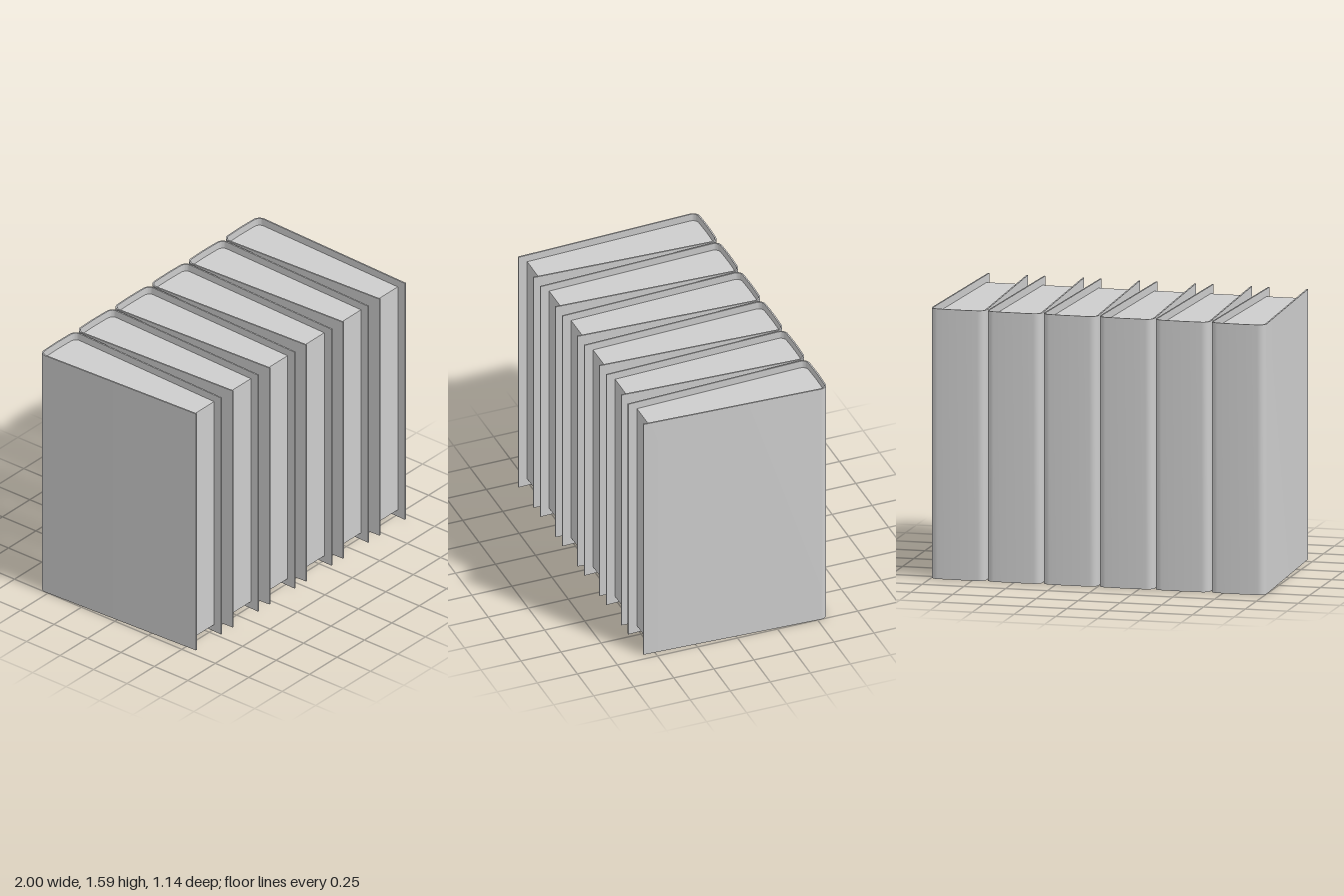
import * as THREE from 'three';
import { toCreasedNormals } from 'three/addons/utils/BufferGeometryUtils.js';

const HEIGHT = 1.59, COUNT = 6, PITCH = 0.335;
const BACK = 0.57;   // spine distance behind the centre
const WALL = 0.009;  // cover thickness

// Right half of a book's plan, from the fore edge to the spine (x, -z), set in by d
function halfOutline(d, front) {
  const halfAt = (y) => 0.12 + 0.0435 * (y + 0.57) / 1.1 - d;
  const r = 0.045 - d, yc = BACK - 0.003 - d - r, xc = halfAt(yc) - r;
  const pts = [new THREE.Vector2(halfAt(front), front)];
  for (let i = 0; i <= 8; i++) {
    const a = (i / 8) * Math.PI / 2;
    pts.push(new THREE.Vector2(xc + r * Math.cos(a), yc + r * Math.sin(a)));
  }
  pts.push(new THREE.Vector2(xc / 2, BACK - 0.001 - d));
  return pts;
}

// Full outline: right fore edge, round the spine, to left fore edge
function outline(d, front) {
  const half = halfOutline(d, front);
  const mirrored = half.map((p) => new THREE.Vector2(-p.x, p.y)).reverse();
  return [...half, new THREE.Vector2(0, BACK - d), ...mirrored];
}

// Raise a plan shape between two heights, smoothing only its gentle bends
function raise(points, y0, y1) {
  const geo = new THREE.ExtrudeGeometry(new THREE.Shape(points), { depth: y1 - y0, bevelEnabled: false });
  geo.rotateX(-Math.PI / 2).translate(0, y0, 0);
  return toCreasedNormals(geo, 0.6);
}

export function createModel() {
  const group = new THREE.Group();
  group.name = 'bookRow';
  const grey = new THREE.MeshStandardMaterial({ color: 0xcccccc });
  grey.name = 'lightGrey';

  // Wrapped cover: outer outline and back along the inner one
  const coverGeo = raise([...outline(0, -0.57), ...outline(WALL, -0.57).reverse()], 0, HEIGHT);
  // Page block, recessed at the top, bottom and fore edge
  const pagesGeo = raise(outline(WALL - 0.001, -0.515), 0.045, HEIGHT - 0.045);

  for (let i = 0; i < COUNT; i++) {
    const book = new THREE.Group();
    book.name = `book${i + 1}`;
    const cover = new THREE.Mesh(coverGeo, grey);
    cover.name = 'cover';
    const pages = new THREE.Mesh(pagesGeo, grey);
    pages.name = 'pages';
    book.add(cover, pages);
    book.position.x = (i - (COUNT - 1) / 2) * PITCH;
    group.add(book);
  }
  return group;
}
